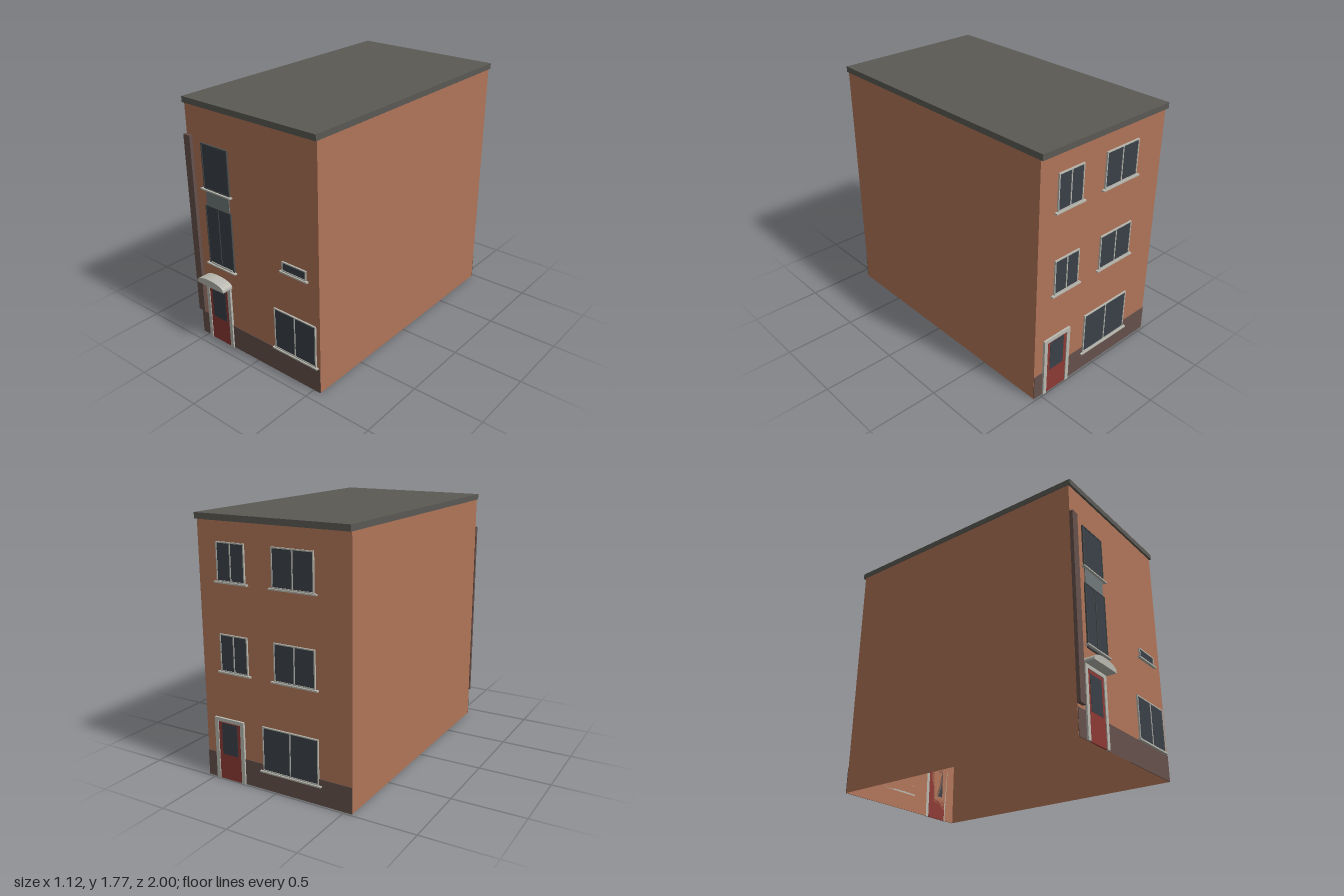
import * as THREE from 'three';

const mat = (color, side = THREE.FrontSide) => new THREE.MeshStandardMaterial({ color, side, flatShading: true });
const brick = mat(0xb07458, THREE.DoubleSide);
const plinthMat = mat(0x64504a);
const roofMat = mat(0x5a5954);
const trim = mat(0xb8b8b0);
const glass = mat(0x3a4048);
const darkFrame = mat(0x4a4e4e);
const panelMat = mat(0x70787a);
const red = mat(0x8c3a34);

// Box given by its extents
function box(parent, name, material, x0, x1, y0, y1, z0, z1) {
  const m = new THREE.Mesh(new THREE.BoxGeometry(x1 - x0, y1 - y0, z1 - z0), material);
  m.position.set((x0 + x1) / 2, (y0 + y1) / 2, (z0 + z1) / 2);
  m.name = name;
  parent.add(m);
  return m;
}

// Rectangular frame with a hole, extruded outwards from the wall
function frame(parent, name, material, x0, x1, y0, y1, t, depth, bottom = t) {
  const s = new THREE.Shape([[x0, y0], [x1, y0], [x1, y1], [x0, y1]].map(p => new THREE.Vector2(...p)));
  s.holes.push(new THREE.Path([[x0 + t, y0 + bottom], [x0 + t, y1 - t], [x1 - t, y1 - t], [x1 - t, y0 + bottom]]
    .map(p => new THREE.Vector2(...p))));
  const m = new THREE.Mesh(new THREE.ExtrudeGeometry(s, { depth, bevelEnabled: false }), material);
  m.name = name;
  parent.add(m);
}

// Window with frame, glass, optional mullion and sill
function addWindow(parent, name, x0, x1, y0, y1, { mullion = true, material = trim, t = 0.008, sill = 0.02 } = {}) {
  const g = new THREE.Group();
  g.name = name;
  frame(g, 'windowFrame', material, x0, x1, y0, y1, t, 0.011);
  box(g, 'windowGlass', glass, x0 + t, x1 - t, y0 + t, y1 - t, 0, 0.007);
  const c = (x0 + x1) / 2;
  if (mullion) box(g, 'mullion', material, c - t / 2, c + t / 2, y0 + t, y1 - t, 0, 0.011);
  if (sill) box(g, 'sill', trim, x0 - sill, x1 + sill, y0 - 0.01, y0, 0, 0.02);
  parent.add(g);
}

// Door with surround and glazed upper panel
function addDoor(parent, name, x0, x1, top, g0, g1) {
  const g = new THREE.Group();
  g.name = name;
  const t = 0.028;
  box(g, 'jambLeft', trim, x0, x0 + t, 0, top, 0, 0.016);
  box(g, 'jambRight', trim, x1 - t, x1, 0, top, 0, 0.016);
  box(g, 'lintel', trim, x0 + t, x1 - t, top - 0.025, top, 0, 0.016);
  box(g, 'doorLeaf', red, x0 + t, x1 - t, 0, top - 0.025, 0, 0.01);
  box(g, 'doorGlass', glass, x0 + 0.055, x1 - 0.055, g0, g1, 0, 0.012);
  parent.add(g);
}

export function createModel() {
  const house = new THREE.Group();
  house.name = 'house';

  // Walls: a box open at the bottom
  const walls = box(house, 'walls', brick, -0.555, 0.555, 0, 1.73, -0.98, 0.915);
  const index = Array.from(walls.geometry.index.array);
  index.splice(18, 6);
  walls.geometry.setIndex(index);
  walls.geometry.clearGroups();

  box(house, 'roof', roofMat, -0.56, 0.56, 1.73, 1.77, -1, 0.93);

  // Each facade is built facing +z with the wall at local z = 0
  const front = new THREE.Group();
  front.name = 'frontFacade';
  front.position.z = 0.915;
  const back = new THREE.Group();
  back.name = 'backFacade';
  back.position.z = -0.98;
  back.rotation.y = Math.PI;
  house.add(front, back);
  for (const f of [front, back]) box(f, 'plinth', plinthMat, -0.555, 0.555, 0, 0.178, 0.001, 0.005);

  // Front facade
  box(front, 'pilaster', plinthMat, -0.56, -0.503, 0.2, 1.52, 0.001, 0.026);
  addDoor(front, 'frontDoor', -0.475, -0.235, 0.48, 0.19, 0.43);
  addWindow(front, 'frontGroundWindow', 0.17, 0.525, 0.19, 0.495, { sill: 0.015 });
  addWindow(front, 'smallWindow', 0.255, 0.455, 0.8, 0.868, { mullion: false, sill: 0.015 });
  const dark = { material: darkFrame, sill: 0 };
  addWindow(front, 'stairWindowUpper', -0.42, -0.182, 1.172, 1.49, { ...dark, mullion: false });
  addWindow(front, 'stairWindowLower', -0.42, -0.182, 0.602, 1.057, { ...dark, t: 0.006 });
  box(front, 'stairPanel', panelMat, -0.408, -0.195, 1.057, 1.172, 0, 0.006);
  for (const y of [0.613, 1.166]) box(front, 'stairSill', trim, -0.438, -0.165, y, y + 0.009, 0, 0.024);
  box(front, 'stairSillUpstand', trim, -0.405, -0.198, 0.622, 0.632, 0, 0.014);

  // Arched door canopy
  const arch = new THREE.Shape();
  arch.moveTo(-0.128, 0);
  arch.lineTo(0.128, 0);
  const n = 12;
  for (let i = 0; i <= n; i++) {
    const a = (i / n) * Math.PI;
    arch.lineTo(0.128 * Math.cos(a), 0.012 + 0.042 * Math.sin(a));
  }
  const canopy = new THREE.Mesh(new THREE.ExtrudeGeometry(arch, { depth: 0.085, bevelEnabled: false }), trim);
  canopy.name = 'doorCanopy';
  canopy.position.set(-0.354, 0.48, 0);
  front.add(canopy);

  // Back facade
  addDoor(back, 'backDoor', -0.48, -0.246, 0.435, 0.18, 0.4);
  addWindow(back, 'backGroundWindow', -0.1, 0.32, 0.135, 0.44);
  for (const y of [0.76, 1.35]) {
    addWindow(back, 'backWindowNarrow', -0.41, -0.195, y, y + 0.25);
    addWindow(back, 'backWindowWide', 0.005, 0.305, y, y + 0.25);
  }
  return house;
}
